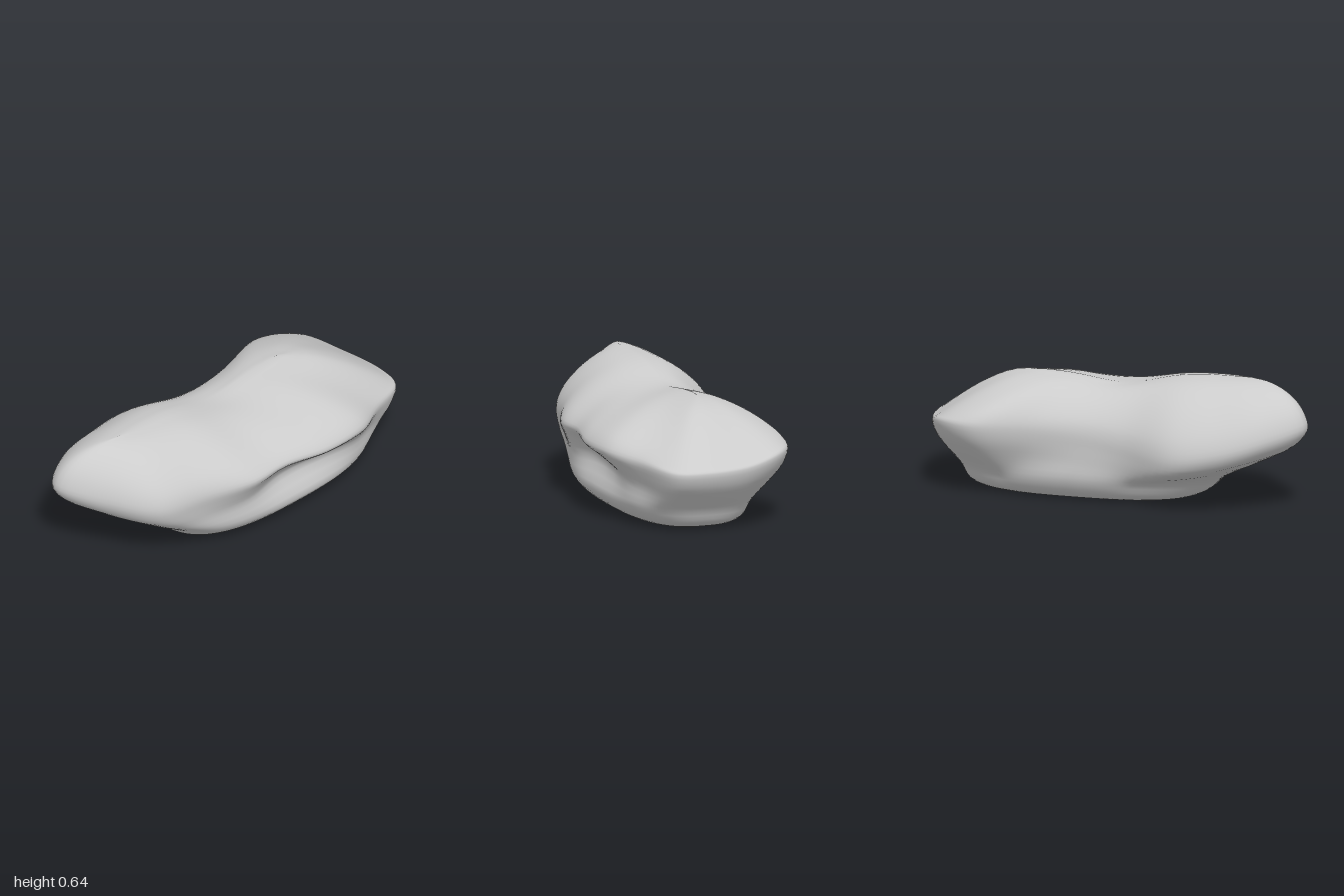
import * as THREE from 'three';

const V = (x, y, z) => new THREE.Vector3(x, y, z);
const { smoothstep, lerp } = THREE.MathUtils;
const bell = (x, centre, width) => Math.exp(-(((x - centre) / width) ** 2));
const COLUMNS = 128, ROWS = 40;

// Widest edge, walked from the left end round the front: [x, y, z]
const RIM = [
  [1, .33, .1], [.96, .33, .24], [.72, .35, .35], [.53, .37, .45], [.27, .37, .465],
  [.02, .38, .42], [-.2, .37, .415], [-.45, .36, .325], [-.7, .35, .25], [-.87, .38, .05],
  [-1, .42, -.18], [-.84, .37, -.34], [-.62, .31, -.435], [-.38, .28, -.472], [-.1, .32, -.37],
  [.1, .35, -.345], [.35, .37, -.37], [.68, .38, -.452], [.87, .38, -.36], [.97, .34, -.15],
].map(p => V(...p));

// Height of the top ridge along x, with a saddle near the middle
const ridgeHeight = x => .645 - .035 * smoothstep(x, -.5, .3) - .05 * bell(x, -.03, .22);

// Point on a rounded-box outline for the lower body
function outline(angle, y, cx, cz, rx, rz) {
  const soft = v => Math.sign(v) * Math.abs(v) ** .75;
  return V(cx + rx * soft(Math.cos(angle)), y, cz + rz * soft(Math.sin(angle)));
}

// Vertical profile through one rim point, from the base centre to the ridge
function profile(rim) {
  const angle = Math.atan2(rim.z / .42, (rim.x - .05) / .95);
  const front = Math.max(0, Math.sin(angle));
  const belly = outline(angle, .11, .165, .02, .685, .36);
  const points = [
    V(.2, 0, .01),
    outline(angle, 0, .2, .01, .3, .14),
    outline(angle, .003, .2, .01, .53, .25),
    outline(angle, .04, .185, .015, .625, .315),
    belly,
  ];
  // crease below the front overhang, rounded underside elsewhere
  const crease = front * bell(rim.x, .22, .48);
  const waist = belly.clone().lerp(rim, .52);
  waist.z -= .085 * crease;
  waist.y -= .035 * (1 - crease);
  const under = belly.clone().lerp(rim, .88);
  under.z -= .05 * crease;
  under.y -= .045 - .025 * crease;
  points.push(waist, under, rim);
  // domed top, gentler at the left end and hollowed at the front middle
  const rx = rim.x * .55 - .13;
  const ridge = V(rx, ridgeHeight(rx), -.07);
  const gentle = .3 * smoothstep(rim.x, -1, -.6) + .7 * smoothstep(rim.x, .5, 1)
    + .3 * front * bell(rim.x, -.1, .2);
  for (const step of [.2, .4, .6, .8, 1]) {
    const a = step * Math.PI / 2;
    const inward = 1 - Math.cos(a);
    const rise = lerp(Math.sin(a), Math.sin(inward * Math.PI / 2), gentle);
    const p = rim.clone().lerp(ridge, inward);
    p.y = lerp(rim.y, ridge.y, rise);
    points.push(p);
  }
  return new THREE.CatmullRomCurve3(points, false, 'centripetal');
}

export function createModel() {
  const rimCurve = new THREE.CatmullRomCurve3(RIM, true, 'centripetal');
  const positions = [], index = [];
  for (let i = 0; i < COLUMNS; i++) {
    const column = profile(rimCurve.getPoint(i / COLUMNS));
    for (let j = 0; j <= ROWS; j++) {
      const p = column.getPoint(j / ROWS);
      positions.push(p.x, Math.max(0, p.y), p.z);
    }
  }
  const at = (i, j) => (i % COLUMNS) * (ROWS + 1) + j;
  for (let i = 0; i < COLUMNS; i++) {
    for (let j = 0; j < ROWS; j++) {
      const a = at(i, j), b = at(i + 1, j), c = at(i + 1, j + 1), d = at(i, j + 1);
      index.push(a, d, c);
      if (j > 0) index.push(a, c, b);
    }
  }
  const geometry = new THREE.BufferGeometry();
  geometry.setAttribute('position', new THREE.Float32BufferAttribute(positions, 3));
  geometry.setIndex(index);
  geometry.computeVertexNormals();

  // Shared normals along the ridge, where front and back meet
  for (let i = 0; i < COLUMNS; i++) {
    const k = at(i, ROWS), x = geometry.attributes.position.getX(k);
    const slope = (ridgeHeight(x + .01) - ridgeHeight(x - .01)) / .02;
    const n = V(-slope, 1, 0).normalize();
    geometry.attributes.normal.setXYZ(k, n.x, n.y, n.z);
  }

  const boulder = new THREE.Mesh(geometry, new THREE.MeshStandardMaterial({ color: 0xcccccc }));
  boulder.name = 'boulder';
  const group = new THREE.Group();
  group.name = 'rock';
  group.add(boulder);
  return group;
}
